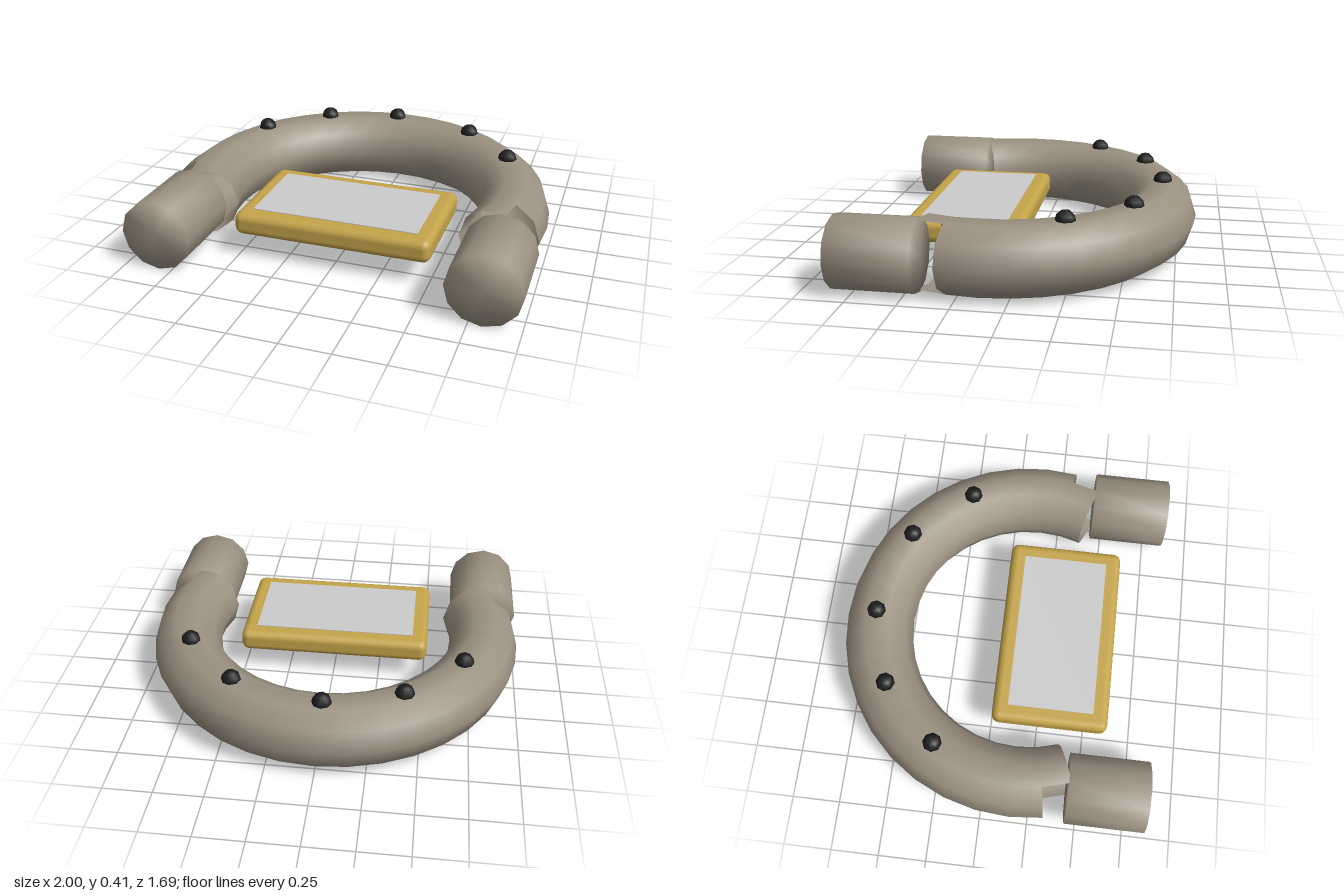
import * as THREE from 'three';
import { mergeVertices } from 'three/addons/utils/BufferGeometryUtils.js';
import { RoundedBoxGeometry } from 'three/addons/geometries/RoundedBoxGeometry.js';

const R = 0.816, TUBE = 0.183, CY = 0.185, CZ = 0.152;
const RADIAL = 10, TUBULAR = 22;

function material(name, color, side = THREE.FrontSide) {
  const m = new THREE.MeshStandardMaterial({ color, side });
  m.name = name;
  return m;
}

// Open horseshoe tube; the outer half of its last ring at each end is cut away
function ringGeometry() {
  const arc = THREE.MathUtils.degToRad(220);
  const geo = new THREE.TorusGeometry(R, TUBE, RADIAL, TUBULAR, arc);
  const src = geo.index.array, kept = [];
  for (let j = 0; j < RADIAL; j++) {
    for (let i = 0; i < TUBULAR; i++) {
      const outer = j < 2 || j >= RADIAL - 2;
      if (outer && (i === 0 || i === TUBULAR - 1)) continue;
      const k = (j * TUBULAR + i) * 6;
      kept.push(...src.slice(k, k + 6));
    }
  }
  geo.setIndex(kept);
  geo.rotateZ((Math.PI - arc) / 2);
  geo.rotateX(-Math.PI / 2);
  return geo;
}

// Capped cylinder along z with normals blended over its rims
function endGeometry() {
  let geo = new THREE.CylinderGeometry(TUBE + 0.001, TUBE + 0.001, 0.41, 12);
  geo.deleteAttribute('normal');
  geo.deleteAttribute('uv');
  geo = mergeVertices(geo, 1e-4);
  geo.rotateX(Math.PI / 2);
  geo.rotateZ(Math.PI / 2);
  geo.computeVertexNormals();
  return geo;
}

export function createModel() {
  const model = new THREE.Group();
  const stone = material('warm grey', 0x9c9282, THREE.DoubleSide);
  const gold = material('gold', 0xc4a44a);
  const pale = material('pale grey', 0xcccccc);
  const black = material('black', 0x1c1c1c);

  function add(name, geo, mat, x, y, z) {
    const mesh = new THREE.Mesh(geo, mat);
    mesh.name = name;
    mesh.position.set(x, y, z);
    model.add(mesh);
  }

  // Horseshoe and its two separate ends
  add('horseshoe', ringGeometry(), stone, 0, CY, CZ);
  const end = endGeometry();
  add('leftEnd', end, stone, R, CY, 0.641);
  add('rightEnd', end, stone, -R, CY, 0.641);

  // Framed plaque between the ends
  add('plaqueFrame', new RoundedBoxGeometry(1.02, 0.12, 0.61, 2, 0.04), gold, 0, 0.186, 0.31);
  add('plaquePanel', new THREE.BoxGeometry(0.86, 0.006, 0.45), pale, 0, 0.247, 0.31);

  // Round studs along the top
  const stud = new THREE.SphereGeometry(0.05, 8, 6);
  [[-0.7, -0.27], [-0.415, -0.555], [-0.025, -0.665], [0.44, -0.54], [0.715, -0.24]]
    .forEach(([x, z], i) => add('stud' + (i + 1), stud, black, x, 0.36, z));

  return model;
}
